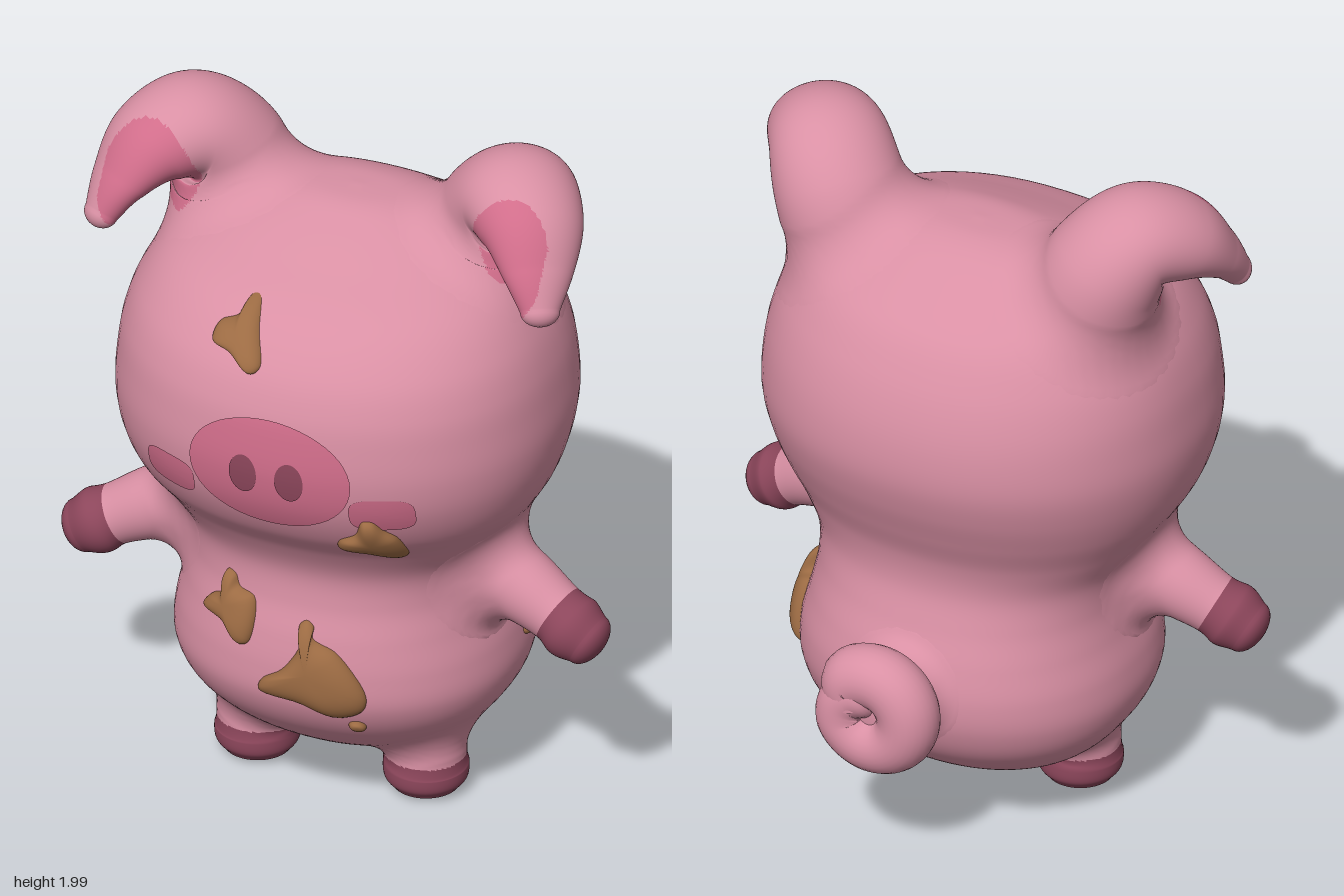
import * as THREE from 'three';
import { mergeVertices } from 'three/addons/utils/BufferGeometryUtils.js';

const material = (name, color) => Object.assign(new THREE.MeshStandardMaterial({ color }), { name });
const V = (x, y, z) => new THREE.Vector3(x, y, z);
const signedPow = (v, power) => Math.sign(v) * Math.abs(v) ** power;
const ROUND = 2.2; // superellipse exponent of the body's cross-section

// Smoothly interpolates stations [x, y, z, half width, half thickness]
function sample(stations, n) {
  const path = new THREE.CatmullRomCurve3(stations.map(s => V(s[0], s[1], s[2])), false, 'catmullrom', 0.5);
  const size = new THREE.CatmullRomCurve3(stations.map(s => V(s[3], s[4], 0)), false, 'catmullrom', 0.5);
  return Array.from({ length: n + 1 }, (_, i) => {
    const r = size.getPoint(i / n);
    return { c: path.getPoint(i / n), w: Math.max(0, r.x), t: Math.max(0, r.y), dir: path.getTangent(i / n) };
  });
}

// Joins rows of points into a smooth surface
function skin(rows) {
  const seg = rows[0].length, position = [], index = [];
  rows.forEach(row => row.forEach(p => position.push(p.x, p.y, p.z)));
  for (let i = 0; i < rows.length - 1; i++) {
    for (let j = 0; j < seg; j++) {
      const a = i * seg + j, b = i * seg + (j + 1) % seg;
      index.push(a, b, a + seg, b, b + seg, a + seg);
    }
  }
  let geo = new THREE.BufferGeometry();
  geo.setAttribute('position', new THREE.Float32BufferAttribute(position, 3));
  geo.setIndex(index);
  geo = mergeVertices(geo, 1e-5);
  geo.computeVertexNormals();
  return geo;
}

// Tube along the stations, closed by a dome; fillet is the radius of its blend into the body
function loft(stations, side, { dome = 0, n = 40, seg = 36, axis = null, round = 2, fillet = 0 } = {}) {
  const rings = sample(stations, n);
  const last = rings[n];
  if (dome) {
    for (let k = 1; k <= 8; k++) {
      const a = k / 8 * Math.PI / 2, f = k === 8 ? 0 : Math.cos(a);
      rings.push({
        c: last.c.clone().addScaledVector(last.dir, dome * Math.sin(a)),
        w: last.w * f, t: last.t * f, dir: last.dir
      });
    }
  }
  return skin(rings.map(({ c, w, t, dir }) => {
    const T = axis || dir;
    const S = side.clone().addScaledVector(T, -side.dot(T)).normalize();
    const N = T.clone().cross(S);
    return Array.from({ length: seg }, (_, j) => {
      const a = j / seg * Math.PI * 2;
      const p = c.clone().addScaledVector(S, w * signedPow(Math.cos(a), 2 / round))
        .addScaledVector(N, t * signedPow(Math.sin(a), 2 / round));
      return fillet ? blend(p, c, fillet) : p;
    });
  }));
}

// Body and head profile: height, half width, back z, front z
const profile = [
  [0.145, 0, 0.04, 0.04], [0.155, 0.2, -0.16, 0.22], [0.2, 0.345, -0.27, 0.31], [0.3, 0.44, -0.38, 0.42],
  [0.4, 0.48, -0.43, 0.475], [0.5, 0.475, -0.44, 0.48], [0.6, 0.45, -0.42, 0.465], [0.7, 0.435, -0.385, 0.44],
  [0.8, 0.45, -0.36, 0.44], [0.9, 0.51, -0.37, 0.49], [1, 0.57, -0.41, 0.57], [1.1, 0.605, -0.45, 0.618],
  [1.2, 0.62, -0.475, 0.635], [1.3, 0.615, -0.475, 0.63], [1.4, 0.6, -0.455, 0.61], [1.5, 0.565, -0.415, 0.56],
  [1.6, 0.5, -0.35, 0.46], [1.68, 0.4, -0.25, 0.305], [1.74, 0.28, -0.16, 0.18], [1.77, 0.15, -0.08, 0.1],
  [1.777, 0, 0.01, 0.01]
].map(([y, w, back, front]) => [0, y, (front + back) / 2, w, (front - back) / 2]);
const bodyRings = sample(profile, 160);
const bodyGeo = loft(profile, V(1, 0, 0), { n: 160, seg: 72, axis: V(0, 1, 0), round: ROUND });

// Signed distance to the body and the body normal at the nearest vertex
function toBody(p) {
  const pos = bodyGeo.attributes.position, a = pos.array;
  let best = Infinity, at = 0;
  for (let i = 0; i < a.length; i += 3) {
    const d = (a[i] - p.x) ** 2 + (a[i + 1] - p.y) ** 2 + (a[i + 2] - p.z) ** 2;
    if (d < best) { best = d; at = i / 3; }
  }
  const n = V(0, 0, 0).fromBufferAttribute(bodyGeo.attributes.normal, at);
  return { n, d: p.clone().sub(V(0, 0, 0).fromBufferAttribute(pos, at)).dot(n) };
}

// Bends a limb point onto a round fillet that meets the body, then dives just under its skin
function blend(p, centre, radius) {
  const { n, d } = toBody(p);
  const k = 1 - d / radius;
  if (k <= 0 || k >= 2) return p;
  const arc = Math.min(k, 1) * Math.PI / 2, under = Math.max(0, k - 1);
  const spread = radius * (1 - Math.cos(arc) + 0.5 * under);
  const height = radius * (1 - Math.sin(arc) - 0.35 * under);
  const out = p.clone().sub(centre);
  out.addScaledVector(n, -out.dot(n)).normalize();
  const q = p.clone().addScaledVector(out, spread);
  for (let i = 0; i < 2; i++) {
    const near = toBody(q);
    q.addScaledVector(near.n, height - near.d);
  }
  return q;
}

// Sorts triangles into two material groups by a test on centre and normal
function paint(geo, test) {
  const pos = geo.attributes.position, idx = geo.index.array, plain = [], painted = [];
  const tri = new THREE.Triangle(), mid = V(0, 0, 0), nor = V(0, 0, 0);
  for (let i = 0; i < idx.length; i += 3) {
    tri.setFromAttributeAndIndices(pos, idx[i], idx[i + 1], idx[i + 2]);
    tri.getMidpoint(mid);
    tri.getNormal(nor);
    (test(mid, nor) ? painted : plain).push(idx[i], idx[i + 1], idx[i + 2]);
  }
  geo.setIndex([...plain, ...painted]);
  geo.addGroup(0, plain.length, 0);
  geo.addGroup(plain.length, painted.length, 1);
  return geo;
}

// Point on the body, pushed outward by lift; u runs along x in front, along -z on the left side
function onBody(u, y, lift, onSide) {
  const i = Math.max(1, bodyRings.findIndex(r => r.c.y >= y));
  const a = bodyRings[i - 1], b = bodyRings[i], k = (y - a.c.y) / (b.c.y - a.c.y);
  const w = a.w + (b.w - a.w) * k, t = a.t + (b.t - a.t) * k, z0 = a.c.z + (b.c.z - a.c.z) * k;
  const rest = v => Math.max(0, 1 - Math.abs(v) ** ROUND) ** (1 / ROUND);
  const p = onSide ? V(w * rest((-u - z0) / t), y, -u) : V(u, y, z0 + t * rest(u / w));
  const out = V(p.x / w ** 2, 0, (p.z - z0) / t ** 2).normalize();
  return p.addScaledVector(out, lift);
}

// Patch hugging the body inside an outline, bulging by height
function patch(outline, base, height, onSide = false) {
  if (THREE.ShapeUtils.area(outline) < 0) outline = outline.slice().reverse();
  const mid = new THREE.Vector2();
  outline.forEach(p => mid.addScaledVector(p, 1 / outline.length));
  const n = 14;
  return skin(Array.from({ length: n + 1 }, (_, k) => {
    const s = Math.sin((1 - k / n) * Math.PI / 2);
    return outline.map(p => {
      const q = mid.clone().lerp(p, s);
      return onBody(q.x, q.y, base + height * Math.sqrt(Math.max(0, 1 - s ** 3)), onSide);
    });
  }));
}

// Rounded outline; power 1 is an ellipse, lower is boxier
const oval = (x, y, rx, ry, power = 1) => Array.from({ length: 48 }, (_, i) => {
  const a = i / 48 * Math.PI * 2;
  return new THREE.Vector2(x + rx * signedPow(Math.cos(a), power), y + ry * signedPow(Math.sin(a), power));
});

const blob = points => new THREE.CatmullRomCurve3(points.map(([x, y]) => V(x, y, 0)), true)
  .getPoints(64).slice(0, -1).map(p => new THREE.Vector2(p.x, p.y));

export function createModel() {
  const pink = material('pink skin', 0xd990a4);
  const rose = material('rose', 0xd06d8a);
  const dark = material('dark rose', 0x8c465b);
  const mud = material('mud', 0x9c6b43);
  const model = new THREE.Group();
  model.name = 'pig';
  const add = (name, geo, mat) => {
    const mesh = new THREE.Mesh(geo, mat);
    mesh.name = name;
    model.add(mesh);
  };

  add('body', bodyGeo, pink);

  for (const [side, m] of [['left', 1], ['right', -1]]) {
    const mirror = rows => rows.map(([x, y, z, w, t = w]) => [x * m, y, z, w, t]);

    // Arms with dark hands
    const arm = loft(mirror([
      [0.25, 0.83, 0.1, 0.12], [0.4, 0.77, 0.12, 0.12], [0.54, 0.71, 0.135, 0.1], [0.64, 0.66, 0.15, 0.085],
      [0.69, 0.632, 0.16, 0.092], [0.735, 0.608, 0.165, 0.076]
    ]), V(0, 0, 1), { dome: 0.047, n: 80, seg: 48, fillet: 0.1 });
    add(side + 'Arm', paint(arm, p =>
      (Math.abs(p.x) - 0.64) * 0.15 - (p.y - 0.66) * 0.078 + (p.z - 0.15) * 0.025 > 0), [pink, dark]);

    // Legs with dark feet
    const leg = loft(mirror([
      [0.235, 0.3, 0.1, 0.13], [0.24, 0.2, 0.115, 0.122], [0.245, 0.115, 0.12, 0.11], [0.245, 0.08, 0.12, 0.116],
      [0.245, 0.045, 0.12, 0.113], [0.245, 0.02, 0.12, 0.094]
    ]), V(m, 0, 0), { dome: 0.018, n: 80, seg: 48, fillet: 0.07 });
    add(side + 'Leg', paint(leg, p => p.y < 0.115), [pink, dark]);

    // Ears rise, fold outward and droop forward
    const ear = loft(mirror([
      [0.3, 1.47, -0.03, 0.18, 0.18], [0.36, 1.64, -0.035, 0.185, 0.185], [0.41, 1.775, -0.03, 0.18, 0.165],
      [0.475, 1.857, 0.03, 0.165, 0.138], [0.555, 1.832, 0.125, 0.142, 0.112], [0.608, 1.755, 0.21, 0.1, 0.068],
      [0.638, 1.675, 0.265, 0.055, 0.044]
    ]), V(-0.67 * m, 0, 0.74), { dome: 0.042, n: 110, seg: 90, fillet: 0.1 });
    add(side + 'Ear', paint(ear, (p, n) => {
      const x = Math.abs(p.x);
      const inside = ((x - 0.525) / 0.122) ** 2 + ((p.y - 1.79) / 0.155) ** 2 < 1;
      return inside && x < 0.64 && p.y > 1.65 && p.z > 0.03 && -0.2 * m * n.x - 0.35 * n.y + 0.9 * n.z > 0.05;
    }), [pink, rose]);

    add(side + 'Cheek', patch(oval(0.305 * m, 1.122, 0.082, 0.054, 0.6), 0.003, 0), rose);
    add(side + 'Nostril', patch(oval(0.066 * m, 1.208, 0.04, 0.058), 0.008, 0), dark);
  }
  add('snout', patch(oval(0, 1.213, 0.232, 0.167), 0.005, 0), rose);

  // Curly tail: a stalk and a plump spiral
  add('tailStalk', loft([
    [0, 0.51, -0.3, 0.115, 0.115], [0, 0.51, -0.4, 0.115, 0.115], [0, 0.515, -0.48, 0.118, 0.118], [0, 0.515, -0.56, 0.118, 0.118]
  ], V(1, 0, 0), { dome: 0.035, fillet: 0.06 }), pink);
  const curl = Array.from({ length: 15 }, (_, i) => {
    const a = 0.3 + i * 0.5, k = i / 14;
    const R = i === 0 ? 0.06 : 0.1 - 0.2 * Math.max(0, k - 0.8);
    const r = 0.088 - 0.02 * k ** 3;
    return [0.005 + R * Math.cos(a), 0.518 + R * Math.sin(a), -0.545 - 0.02 * k, r, r];
  });
  add('tailCurl', loft(curl, V(0, 0, 1), { dome: 0.05, n: 80, seg: 28 }), pink);

  // Mud splashes
  const splashes = [
    ['foreheadMud', [[-0.135, 1.625], [-0.11, 1.625], [-0.08, 1.57], [-0.05, 1.5], [-0.07, 1.48], [-0.14, 1.515], [-0.205, 1.53], [-0.2, 1.565], [-0.15, 1.59]]],
    ['cheekMud', [[0.255, 1.1], [0.28, 1.1], [0.305, 1.065], [0.333, 1.03], [0.333, 0.94], [0.31, 0.925], [0.24, 0.955], [0.17, 0.975], [0.18, 1.01], [0.23, 1.045]]],
    ['chestMud', [[-0.21, 0.735], [-0.185, 0.73], [-0.17, 0.7], [-0.12, 0.685], [-0.125, 0.56], [-0.15, 0.545], [-0.2, 0.59], [-0.28, 0.605], [-0.26, 0.64], [-0.215, 0.67]]],
    ['bellyMud', [[0.04, 0.66], [0.06, 0.645], [0.06, 0.615], [0.13, 0.58], [0.21, 0.46], [0.2, 0.41], [0.13, 0.38], [0.03, 0.415],
      [-0.09, 0.43], [-0.08, 0.465], [-0.02, 0.51], [0.03, 0.6], [0.02, 0.645]]],
    ['sideMud', [[0.075, 0.63], [0.1, 0.63], [0.12, 0.57], [0.16, 0.56], [0.21, 0.41], [0.19, 0.39], [0.12, 0.435], [0, 0.47], [0.01, 0.51], [0.05, 0.57]], true]
  ];
  for (const [name, points, onSide] of splashes) add(name, patch(blob(points), -0.004, 0.04, onSide), mud);
  add('mudDrop', patch(oval(0.178, 0.35, 0.023, 0.02), -0.004, 0.026), mud);

  return model;
}
